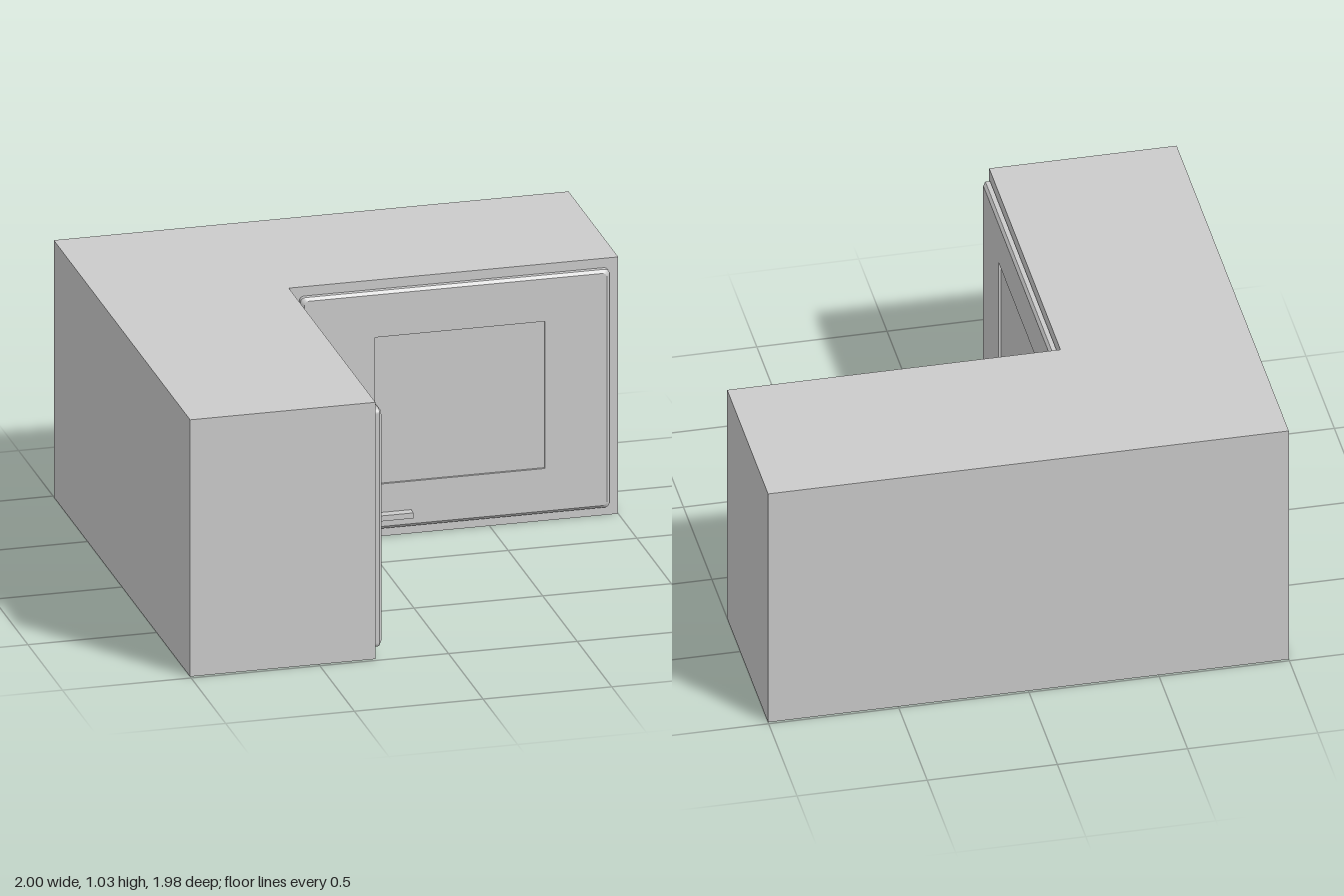
import * as THREE from 'three';

const material = new THREE.MeshStandardMaterial({ color: 0xcccccc });
const DOOR_W = 1.2, DOOR_H = 0.955, BASE = 0.018, FRONT = 0.01, BEVEL = 0.012;
const PANEL_X = 0.017, PANEL_W = 0.66, PANEL_H = 0.59;

function addMesh(parent, geometry, name, x = 0, y = 0, z = 0) {
  const mesh = new THREE.Mesh(geometry, material);
  mesh.name = name;
  mesh.position.set(x, y, z);
  parent.add(mesh);
  return mesh;
}

// Rectangle with rounded corners, centred on the origin
function roundedRect(w, h, r) {
  const s = new THREE.Shape();
  const x = w / 2 - r, y = h / 2 - r;
  s.absarc(x, y, r, 0, Math.PI / 2);
  s.absarc(-x, y, r, Math.PI / 2, Math.PI);
  s.absarc(-x, -y, r, Math.PI, Math.PI * 1.5);
  s.absarc(x, -y, r, Math.PI * 1.5, Math.PI * 2);
  s.closePath();
  return s;
}

// Front layer of the door: sloped outer edge, straight-sided panel opening
function doorFrameGeometry() {
  const shape = roundedRect(DOOR_W, DOOR_H, 0.018);
  const l = PANEL_X - PANEL_W / 2, r = PANEL_X + PANEL_W / 2, h = PANEL_H / 2;
  shape.holes.push(new THREE.Path([[l, -h], [l, h], [r, h], [r, -h]].map(p => new THREE.Vector2(...p))));
  const geometry = new THREE.ExtrudeGeometry(shape, { depth: FRONT, bevelEnabled: false, curveSegments: 4 });
  const pos = geometry.attributes.position;
  for (let i = 0; i < pos.count; i++) {
    const x = pos.getX(i), y = pos.getY(i);
    const outer = Math.abs(x) > DOOR_W / 2 - 0.03 || Math.abs(y) > DOOR_H / 2 - 0.03;
    if (outer && pos.getZ(i) > FRONT / 2) {
      pos.setXY(i, x * (1 - 2 * BEVEL / DOOR_W), y * (1 - 2 * BEVEL / DOOR_H));
    }
  }
  geometry.computeVertexNormals();
  return geometry;
}

// Door facing local +z; handleSide is -1 or 1 for the end near the corner
function createDoor(name, handleSide) {
  const door = new THREE.Group();
  door.name = name;
  const slab = new THREE.ExtrudeGeometry(roundedRect(DOOR_W, DOOR_H, 0.018),
    { depth: BASE, bevelEnabled: false, curveSegments: 4 });
  addMesh(door, slab, 'doorSlab');
  addMesh(door, doorFrameGeometry(), 'doorFrame', 0, 0, BASE);
  addMesh(door, new THREE.BoxGeometry(0.35, 0.022, 0.04), 'handle',
    handleSide * 0.348, 0.095 - 0.515, BASE + FRONT + 0.016);
  return door;
}

export function createModel() {
  const model = new THREE.Group();
  model.name = 'cornerCabinet';

  // L-shaped carcass, drawn in plan and raised to full height
  const plan = new THREE.Shape([[-1, -0.985], [-0.28, -0.985], [-0.28, 0.27], [1, 0.27], [1, 0.99], [-1, 0.99]]
    .map(p => new THREE.Vector2(...p)));
  const carcass = new THREE.ExtrudeGeometry(plan, { depth: 1.03, bevelEnabled: false });
  carcass.rotateX(-Math.PI / 2);
  addMesh(model, carcass, 'carcass');

  // Doors on the two inner faces
  const backDoor = createDoor('backDoor', -1);
  backDoor.position.set(0.361, 0.515, -0.27);
  const sideDoor = createDoor('sideDoor', 1);
  sideDoor.position.set(-0.277, 0.515, 0.367);
  sideDoor.rotation.y = Math.PI / 2;
  model.add(backDoor, sideDoor);
  return model;
}
